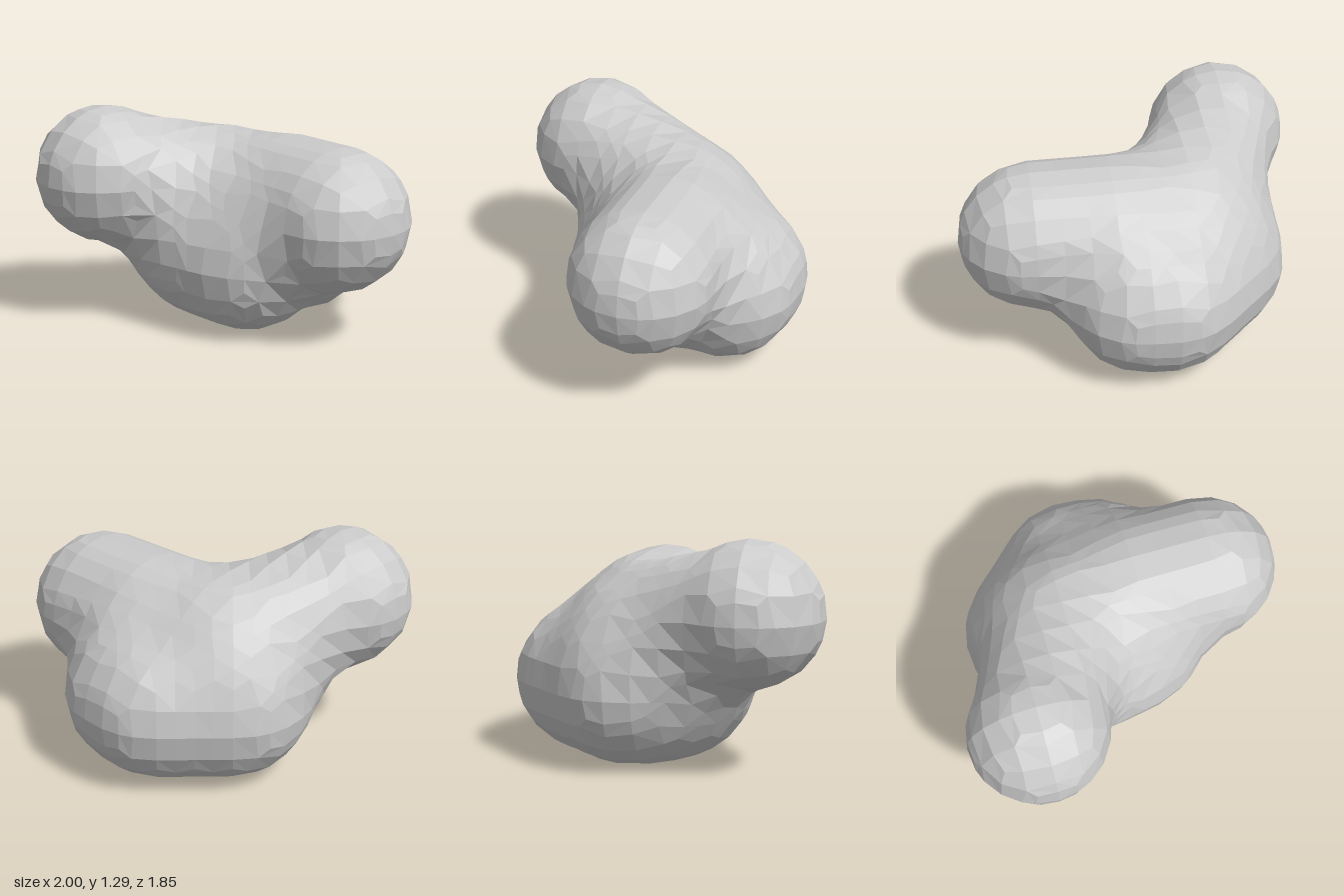
import * as THREE from 'three';

// Round lobes that melt together: start, end, radius, width of the blend with the lobes before
const LOBES = [
  [[-0.13, 0.43, -0.5], [0.0, 0.43, -0.49], 0.43, 0.2],    // back of the base
  [[-0.43, 0.43, -0.2], [-0.43, 0.43, -0.2], 0.43, 0.2],   // right side of the base
  [[0.08, 0.42, 0.0], [0.08, 0.42, 0.0], 0.42, 0.17],      // left side of the base
  [[-0.28, 0.45, 0.06], [-0.28, 0.45, 0.06], 0.42, 0.18],  // front of the base
  [[0.59, 0.72, -0.21], [0.15, 0.72, -0.21], 0.41, 0.23],  // sideways arm
  [[-0.6, 0.88, 0.52], [-0.33, 0.73, -0.1], 0.38, 0.25],   // neck of the front ball
  [[-0.6, 0.88, 0.525], [-0.6, 0.88, 0.525], 0.4, 0.02],   // front ball
].map(([a, b, r, k]) => ({ line: new THREE.Line3(new THREE.Vector3(...a), new THREE.Vector3(...b)), r, k }));

const STEP = 0.147;
const ORIGIN = [-1.25, -0.24, -1.18];
const N = [18, 13, 17];

// Distance to the blended lobes, negative inside
const near = new THREE.Vector3();
function field(p) {
  let d = 10;
  for (const { line, r, k } of LOBES) {
    if (line.distanceSq() > 0) line.closestPointToPoint(p, true, near);
    else near.copy(line.start);
    const e = near.distanceTo(p) - r;
    const h = Math.max(k - Math.abs(d - e), 0);
    d = Math.min(d, e) - (h * h) / (4 * k);
  }
  return d;
}

// Slide a point along the slope of the field until it lies on the skin
function settle(p) {
  const g = new THREE.Vector3();
  const s = 0.002;
  for (let n = 0; n < 4; n++) {
    const d = field(p);
    for (const axis of ['x', 'y', 'z']) {
      const q = p.clone();
      q[axis] += s;
      g[axis] = (field(q) - d) / s;
    }
    p.addScaledVector(g, -d / Math.max(g.lengthSq(), 0.2));
  }
  return p;
}

// Coarse skin: one corner per grid cell the surface crosses, one quad per crossed edge
function skinGeometry() {
  const at = (c) => new THREE.Vector3(...c.map((v, i) => ORIGIN[i] + v * STEP));
  const id = (c) => c[0] + N[0] * (c[1] + N[1] * c[2]);
  const shift = (c, ...axes) => c.map((v, i) => v - (axes.includes(i) ? 1 : 0));
  const values = [], sums = new Map(), quads = [];
  const each = (fn) => {
    for (let z = 0; z < N[2]; z++)
      for (let y = 0; y < N[1]; y++)
        for (let x = 0; x < N[0]; x++) fn([x, y, z]);
  };
  each((c) => { values[id(c)] = field(at(c)); });
  each((c) => {
    for (let a = 0; a < 3; a++) {
      if (c[a] === N[a] - 1) continue;
      const end = c.map((v, i) => v + (i === a ? 1 : 0));
      const d0 = values[id(c)], d1 = values[id(end)];
      if ((d0 < 0) === (d1 < 0)) continue;
      const cross = at(c).lerp(at(end), d0 / (d0 - d1));
      const b = (a + 1) % 3, e = (a + 2) % 3;
      const ring = [c, shift(c, b), shift(c, b, e), shift(c, e)].map(id);
      for (const k of ring) {
        if (!sums.has(k)) sums.set(k, { p: new THREE.Vector3(), n: 0 });
        sums.get(k).p.add(cross);
        sums.get(k).n++;
      }
      quads.push(d0 < 0 ? ring : ring.reverse());
    }
  });

  const positions = [], order = new Map(), index = [];
  for (const [k, { p, n }] of sums) {
    order.set(k, positions.length / 3);
    positions.push(...settle(p.divideScalar(n)).toArray());
  }
  for (const ring of quads) {
    const [a, b, c, d] = ring.map((k) => order.get(k));
    index.push(a, b, c, a, c, d);
  }
  const geometry = new THREE.BufferGeometry();
  geometry.setAttribute('position', new THREE.Float32BufferAttribute(positions, 3));
  geometry.setIndex(index);
  geometry.computeVertexNormals();
  return geometry;
}

export function createModel() {
  const group = new THREE.Group();
  group.name = 'blob';
  const material = new THREE.MeshStandardMaterial({ color: 0xcccccc, flatShading: true });
  const body = new THREE.Mesh(skinGeometry(), material);
  body.name = 'blobBody';
  group.add(body);
  return group;
}
